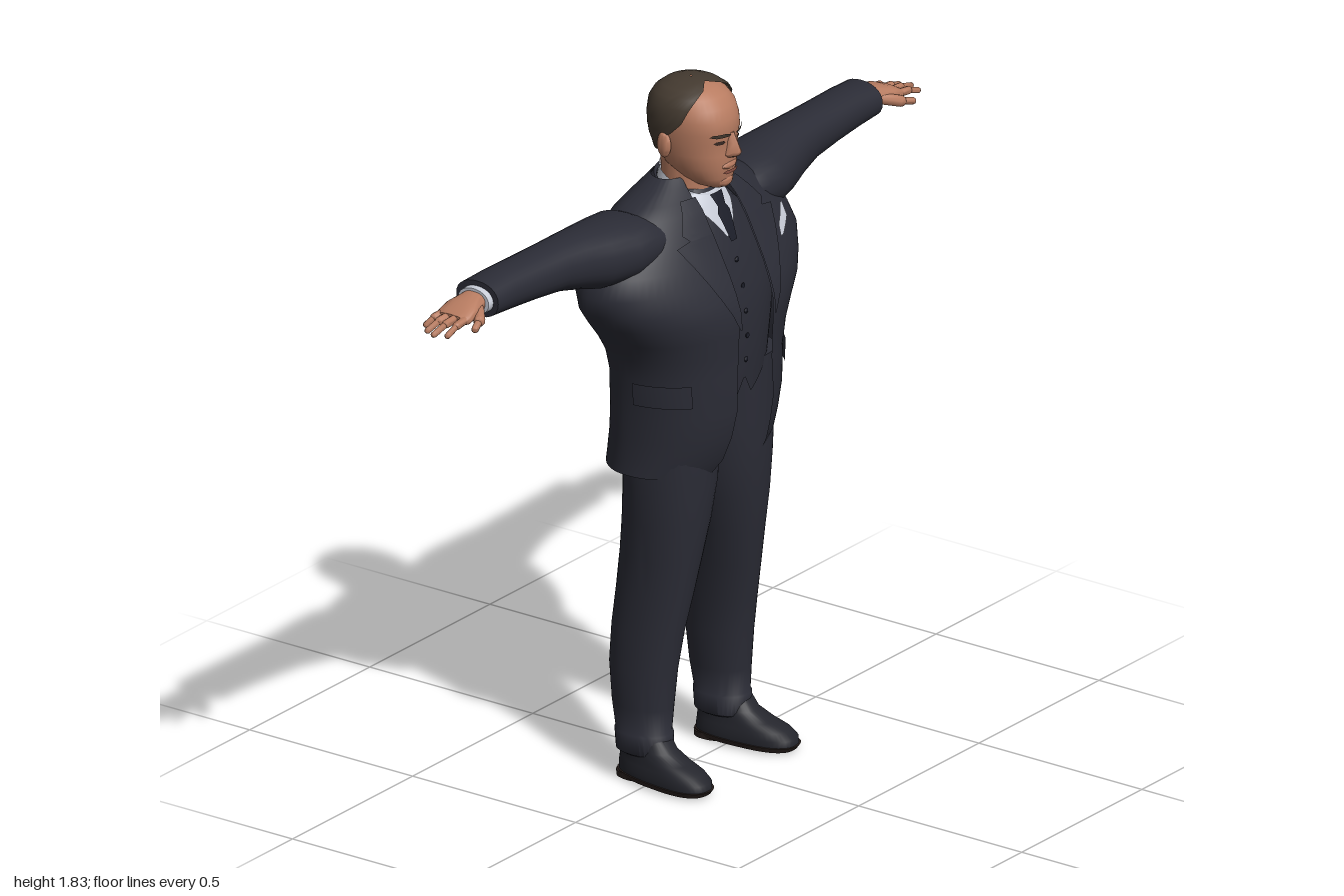
import * as THREE from 'three';
import { toCreasedNormals } from 'three/addons/utils/BufferGeometryUtils.js';

const mat = (name, color) => new THREE.MeshStandardMaterial({ name, color, side: THREE.DoubleSide });

// Ring: [y, halfWidth, zFront, zBack, zOfWidestPoint, xCentre, extra]
const ringPoint = ([y, w, zf, zb, zc, cx = 0], t, n) => {
  const s = Math.sin(t), c = Math.cos(t), e = 2 / n;
  return [cx + w * Math.sign(s) * Math.abs(s) ** e, y,
    zc + (c > 0 ? zf - zc : zb - zc) * Math.sign(c) * Math.abs(c) ** e * (c > 0 ? 1 : -1)];
};

function grid(rows, cols, point) {
  const pos = [], idx = [], k = cols + 1;
  for (let i = 0; i <= rows; i++) for (let j = 0; j <= cols; j++) pos.push(...point(i, j));
  for (let i = 0; i < rows; i++) for (let j = 0; j < cols; j++) {
    const a = i * k + j;
    idx.push(a, a + 1, a + k + 1, a, a + k + 1, a + k);
  }
  return { pos, idx };
}

function toGeometry({ pos, idx }) {
  const g = new THREE.BufferGeometry();
  g.setAttribute('position', new THREE.Float32BufferAttribute(pos, 3));
  g.setIndex(idx);
  return g;
}

// Skin over stacked superellipse rings; range(ring) gives the angles covered, 0 being the front
function loft(rings, { n = 2.2, seg = 40, range, cap = !range } = {}) {
  const data = grid(rings.length - 1, seg, (i, j) => {
    const [a, b] = range ? range(rings[i]) : [0, Math.PI * 2];
    return ringPoint(rings[i], a + (b - a) * j / seg, n);
  });
  if (cap) [0, rings.length - 1].forEach((i) => {
    const [y, , zf, zb, , cx = 0] = rings[i], c = data.pos.length / 3;
    data.pos.push(cx, y, (zf + zb) / 2);
    for (let j = 0; j < seg; j++) {
      const a = i * (seg + 1) + j;
      data.idx.push(c, i ? a : a + 1, i ? a + 1 : a);
    }
  });
  return toGeometry(data);
}

function ringAt(rings, y) {
  let i = 0;
  while (i < rings.length - 2 && y > rings[i + 1][0]) i++;
  const f = (y - rings[i][0]) / (rings[i + 1][0] - rings[i][0]);
  return rings[i].map((v, k) => v + (rings[i + 1][k] - v) * f);
}

// Thin plate lying on the front of a loft; rows are [y, xInner, xOuter]
function patch(rings, rows, lift = 0.006, n = 2.2) {
  const sub = 5;
  return toGeometry(grid((rows.length - 1) * sub, 8, (i, j) => {
    const r = Math.min(Math.floor(i / sub), rows.length - 2), f = i / sub - r;
    const [y, a, b] = rows[r].map((v, k) => v + (rows[r + 1][k] - v) * f);
    const x = a + (b - a) * j / 8, [, w, zf, , zc] = ringAt(rings, y);
    return [x, y, zc + (zf - zc) * Math.max(0, 1 - Math.abs(x / w) ** n) ** (1 / n) + lift];
  }));
}

function mirror(g) {
  const m = g.clone().scale(-1, 1, 1), ix = m.index.array;
  for (let i = 0; i < ix.length; i += 3) [ix[i], ix[i + 1]] = [ix[i + 1], ix[i]];
  return m;
}

function capsule(a, b, r) {
  const p = new THREE.Vector3(...a), q = new THREE.Vector3(...b), d = q.clone().sub(p);
  const g = new THREE.CapsuleGeometry(r, d.length(), 5, 10);
  g.applyQuaternion(new THREE.Quaternion().setFromUnitVectors(new THREE.Vector3(0, 1, 0), d.normalize()));
  return g.translate(...p.add(q).multiplyScalar(0.5).toArray());
}

const ball = (r, sx, sy, sz, x, y, z) => new THREE.SphereGeometry(r, 18, 12).scale(sx, sy, sz).translate(x, y, z);

export function createModel() {
  const root = new THREE.Group();
  root.name = 'suitedMan';
  const suit = mat('suitCloth', 0x2b2c36), leather = mat('shoeLeather', 0x24252c), sole = mat('soleBrown', 0x2a211e);
  const skin = mat('skin', 0xb87c61), hair = mat('hair', 0x443a30), white = mat('shirtWhite', 0xc9cdd8);
  const tieMat = mat('tieNavy', 0x1b1d28), lip = mat('lips', 0x96594a), eyeMat = mat('eyeDark', 0x3a2a24);

  const add = (name, g, m) => {
    const mesh = new THREE.Mesh(toCreasedNormals(g, 0.95), m);
    mesh.name = name;
    root.add(mesh);
  };
  const pair = (name, g, m) => { add(name + 'Left', g, m); add(name + 'Right', mirror(g), m); };

  // Jacket, open at the front (last value is half the opening)
  const jacket = [
    [0.835, 0.245, 0.14, -0.185, -0.03, 0, 0.105], [0.87, 0.243, 0.16, -0.18, -0.03, 0, 0.09],
    [0.93, 0.243, 0.178, -0.17, -0.03, 0, 0.08], [1.0, 0.248, 0.19, -0.163, -0.03, 0, 0.075],
    [1.1, 0.258, 0.187, -0.157, -0.03, 0, 0.07], [1.16, 0.275, 0.188, -0.162, -0.03, 0, 0.07],
    [1.21, 0.305, 0.19, -0.17, -0.035, 0, 0.07], [1.26, 0.345, 0.188, -0.176, -0.04, 0, 0.07],
    [1.3, 0.37, 0.176, -0.18, -0.05, 0, 0.072], [1.35, 0.384, 0.155, -0.182, -0.05, 0, 0.074],
    [1.4, 0.365, 0.13, -0.18, -0.05, 0, 0.075], [1.46, 0.31, 0.1, -0.168, -0.05, 0, 0.075],
    [1.51, 0.25, 0.07, -0.148, -0.05, 0, 0.073], [1.535, 0.2, 0.048, -0.132, -0.045, 0, 0.07],
    [1.56, 0.14, 0.025, -0.115, -0.04, 0, 0.065], [1.58, 0.1, 0.01, -0.1, -0.04, 0, 0.06]];
  const opening = (n) => ([, w, , , , , gap]) => {
    const a = Math.asin((gap / w) ** (n / 2));
    return [a, Math.PI * 2 - a];
  };
  add('jacket', loft(jacket, { seg: 72, range: opening(2.2) }), suit);
  pair('lapel', patch(jacket, [[1.22, 0.068, 0.074], [1.45, 0.072, 0.195], [1.46, 0.072, 0.15],
    [1.475, 0.072, 0.165], [1.54, 0.066, 0.115]], 0.008), suit);
  const flapRings = [1.035, 1.065, 1.095].map((y) => {
    const r = ringAt(jacket, y);
    return [y, r[1] + 0.007, r[2] + 0.007, r[3], r[4], 0];
  });
  pair('pocketFlap', loft(flapRings, { seg: 12, range: () => [0.8, 1.47] }), suit);
  add('breastPocketSquare', patch(jacket, [[1.375, 0.175, 0.19], [1.4, 0.185, 0.245], [1.43, 0.24, 0.256]], 0.008), white);

  // Waistcoat, shirt front and tie
  const vest = [[1.06, 0.2, 0.15, -0.12, 0], [1.2, 0.22, 0.158, -0.13, 0], [1.3, 0.24, 0.145, -0.13, 0],
    [1.4, 0.2, 0.115, -0.13, -0.02], [1.47, 0.15, 0.085, -0.12, -0.03], [1.52, 0.1, 0.06, -0.1, -0.03],
    [1.55, 0.075, 0.042, -0.09, -0.03]];
  add('waistcoat', loft(vest), suit);
  pair('waistcoatPoint', patch(vest, [[1.015, 0.03, 0.034], [1.065, 0.0, 0.11]], 0), suit);
  for (let i = 0; i < 5; i++) {
    const y = 1.11 + i * 0.065;
    add('waistcoatButton', ball(0.007, 1, 1, 0.5, 0, y, ringAt(vest, y)[2] + 0.002), tieMat);
  }
  add('shirtFront', patch(vest, [[1.43, -0.012, 0.012], [1.5, -0.06, 0.06], [1.54, -0.065, 0.065]], 0.004), white);
  add('tie', patch(vest, [[1.42, -0.012, 0.012], [1.49, -0.024, 0.024], [1.505, -0.015, 0.015],
    [1.535, -0.024, 0.024]], 0.012), tieMat);

  // Collars drop towards the front
  const collar = (rings) => {
    const g = loft(rings, { range: opening(2.2) }), p = g.attributes.position;
    for (let i = 0; i < p.count; i++) p.setY(i, p.getY(i) - 0.45 * p.getZ(i));
    return g;
  };
  add('shirtCollar', collar([[1.5, 0.085, 0.075, -0.1, -0.02, 0, 0.03], [1.56, 0.073, 0.056, -0.092, -0.02, 0, 0.008]]), white);
  add('jacketCollar', collar([[1.48, 0.13, 0.07, -0.125, -0.03, 0, 0.075], [1.505, 0.108, 0.06, -0.115, -0.03, 0, 0.07],
    [1.54, 0.088, 0.055, -0.1, -0.03, 0, 0.068], [1.535, 0.08, 0.05, -0.094, -0.03, 0, 0.066]]), suit);

  // Sleeves, cuffs and hands; lofted upright, then laid along x
  const limb = (rows, n) => loft(rows.map(([x, y0, y1, zf, zb]) =>
    [x, (y1 - y0) / 2, zf, zb, (zf + zb) / 2, -(y0 + y1) / 2]), { n, seg: 28 }).rotateZ(-Math.PI / 2);
  pair('sleeve', limb([[0.19, 1.4, 1.515, 0.06, -0.15], [0.23, 1.385, 1.53, 0.065, -0.16], [0.3, 1.375, 1.535, 0.06, -0.16],
    [0.38, 1.378, 1.54, 0.037, -0.148], [0.45, 1.398, 1.542, 0.018, -0.138], [0.52, 1.415, 1.54, 0.004, -0.135],
    [0.62, 1.424, 1.537, -0.006, -0.138], [0.72, 1.43, 1.535, -0.014, -0.142], [0.8, 1.436, 1.53, -0.016, -0.145]], 2.2), suit);
  pair('shirtCuff', limb([[0.78, 1.447, 1.518, -0.03, -0.13], [0.818, 1.449, 1.516, -0.032, -0.126]], 2.1), white);
  pair('palm', limb([[0.79, 1.458, 1.51, -0.045, -0.112], [0.83, 1.458, 1.508, -0.042, -0.115],
    [0.87, 1.454, 1.5, -0.028, -0.126], [0.9, 1.452, 1.488, -0.026, -0.127], [0.915, 1.456, 1.48, -0.034, -0.12]], 2.4), skin);
  const fingers = [[-0.113, -0.125, 0.952], [-0.09, -0.1, 0.98], [-0.066, -0.072, 0.992], [-0.042, -0.04, 0.978]];
  fingers.forEach(([z0, z1, x], i) => {
    const mid = [(0.9 + x) / 2, 1.466, (z0 + z1) / 2];
    pair('finger' + (i + 1), capsule([0.895, 1.471, z0], mid, 0.0105), skin);
    pair('fingertip' + (i + 1), capsule(mid, [x, 1.453, z1], 0.008), skin);
  });
  pair('thumbBase', capsule([0.84, 1.475, -0.048], [0.876, 1.464, -0.018], 0.015), skin);
  pair('thumb', capsule([0.876, 1.464, -0.018], [0.91, 1.456, -0.006], 0.0095), skin);

  // Trousers with turned-up hems
  pair('trouserLeg', loft([[0.075, 0.053, 0.036, -0.106, -0.035, 0.163], [0.08, 0.06, 0.042, -0.112, -0.035, 0.163],
    [0.13, 0.061, 0.04, -0.116, -0.04, 0.163], [0.135, 0.057, 0.036, -0.114, -0.04, 0.163],
    [0.2, 0.062, 0.04, -0.126, -0.04, 0.161], [0.3, 0.064, 0.05, -0.137, -0.04, 0.158], [0.4, 0.067, 0.065, -0.134, -0.03, 0.152],
    [0.5, 0.073, 0.084, -0.126, -0.02, 0.141], [0.6, 0.085, 0.1, -0.118, -0.01, 0.131], [0.7, 0.1, 0.115, -0.113, 0, 0.122],
    [0.8, 0.113, 0.125, -0.11, 0, 0.114], [0.9, 0.118, 0.13, -0.12, 0, 0.112], [1.08, 0.115, 0.135, -0.12, 0, 0.11]],
  { n: 2.1 }), suit);

  // Shoes, toes turned slightly out
  const shoe = (rings) => loft(rings, { n: 2.5 }).rotateY(0.1).translate(0.168, 0, 0);
  pair('shoe', shoe([[0.018, 0.057, 0.172, -0.108, 0.06], [0.035, 0.058, 0.17, -0.108, 0.06], [0.052, 0.053, 0.15, -0.106, 0.05],
    [0.068, 0.049, 0.105, -0.104, 0.02], [0.09, 0.046, 0.06, -0.1, -0.02], [0.13, 0.043, 0.03, -0.095, -0.03]]), leather);
  pair('shoeSole', shoe([[0.006, 0.056, 0.168, -0.108, 0.06], [0.019, 0.061, 0.177, -0.112, 0.06]]), sole);
  pair('shoeHeel', shoe([[0, 0.044, -0.02, -0.112, -0.06], [0.015, 0.045, -0.018, -0.112, -0.06]]), sole);

  // Neck and head
  add('neck', loft([[1.46, 0.07, 0.045, -0.09, -0.02], [1.56, 0.066, 0.045, -0.088, -0.02], [1.65, 0.07, 0.05, -0.09, -0.02]]), skin);
  const head = [[1.557, 0.026, 0.088, 0.03, 0.06], [1.565, 0.043, 0.097, 0.005, 0.05], [1.585, 0.062, 0.103, -0.03, 0.02],
    [1.615, 0.08, 0.108, -0.07, 0], [1.65, 0.09, 0.109, -0.095, -0.01], [1.685, 0.096, 0.107, -0.108, -0.015],
    [1.71, 0.099, 0.113, -0.113, -0.015], [1.74, 0.1, 0.109, -0.114, -0.015], [1.77, 0.096, 0.097, -0.109, -0.015],
    [1.793, 0.083, 0.077, -0.096, -0.015], [1.808, 0.064, 0.053, -0.077, -0.015], [1.818, 0.036, 0.022, -0.05, -0.015]];
  add('head', loft(head), skin);

  // Receding hair; last value is how far forward it reaches
  const reach = [-0.075, -0.06, -0.04, 0, 0.03, 0.045, 0.052, 0.05, 0.05];
  const hairRings = head.slice(3).map(([y, w, zf, zb, zc], i) =>
    [y + (i > 4 ? 0.005 : 0), w + 0.007, zf + 0.005, zb - 0.007, zc, 0, reach[i]]);
  hairRings.push([1.827, 0.002, -0.012, -0.018, -0.015, 0, 0.05]);
  add('hair', loft(hairRings, {
    range: ([, , zf, zb, zc, , z]) => {
      const f = (z - zc) / (z > zc ? zf - zc : zc - zb);
      const a = Math.acos(Math.min(1, Math.abs(f) ** 1.1) * Math.sign(f));
      return [a, Math.PI * 2 - a];
    },
  }), hair);

  // Face
  add('nose', loft([[1.642, 0.014, 0.119, 0.08, 0.1], [1.65, 0.022, 0.134, 0.08, 0.1], [1.66, 0.019, 0.14, 0.08, 0.1],
    [1.68, 0.012, 0.131, 0.08, 0.1], [1.708, 0.009, 0.117, 0.08, 0.1]], { n: 1.8, seg: 16 }), skin);
  add('upperLip', ball(0.03, 1, 0.4, 0.4, 0, 1.62, 0.1), skin);
  add('chin', ball(0.028, 1, 0.7, 0.6, 0, 1.577, 0.088), skin);
  add('mouth', patch(head, [[1.6, -0.02, 0.02], [1.605, -0.031, 0.031], [1.61, -0.02, 0.02]], 0.006), lip);
  pair('eyebrow', patch(head, [[1.702, 0.014, 0.05], [1.707, 0.012, 0.066], [1.712, 0.03, 0.06]], 0.005), hair);
  pair('eye', patch(head, [[1.682, 0.03, 0.045], [1.687, 0.022, 0.054], [1.692, 0.03, 0.048]], 0.003), eyeMat);
  pair('ear', ball(0.034, 0.3, 1, 0.6, 0.102, 1.675, -0.022).rotateY(0), skin);

  return root;
}
